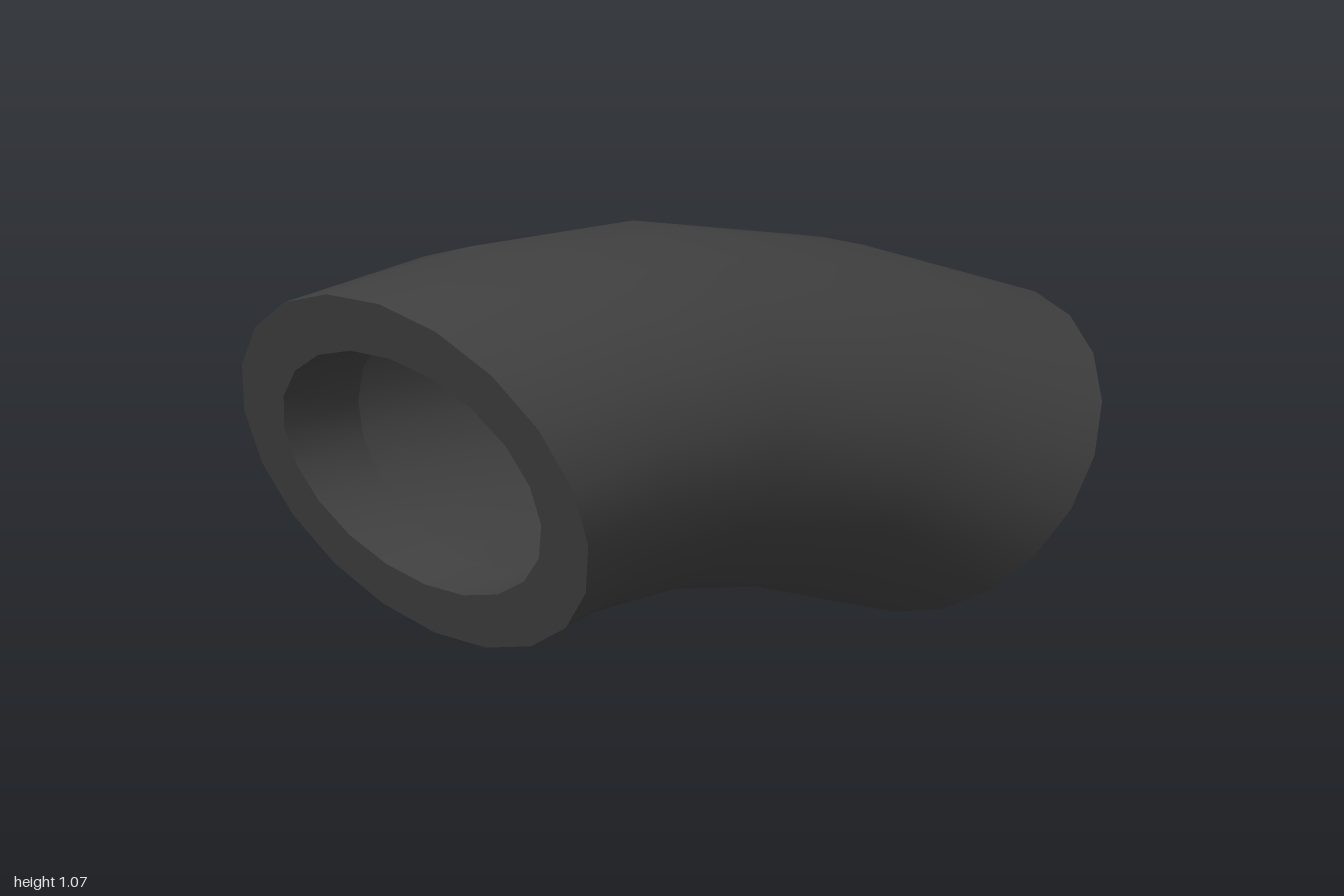
import * as THREE from 'three';

const SIDES = 20;
const WALL = 0.13;      // thickness at the end lips
const THIN_WALL = 0.07; // thickness along the wider bore
const LIP_FRONT = 0.68; // where the lips stop, counted in stations
const LIP_BACK = 3.61;

// Stations from front to back: centre, sideways half axis, upright half axis
const v = (x, y, z) => new THREE.Vector3(x, y, z);
const stations = [
  [v(0.034, 0.62, 0.873), v(0.524, 0.018, -0.076), v(0, 0.415, 0.127)],
  [v(-0.005, 0.65, 0.583), v(0.527, 0.02, -0.056), v(0, 0.425, 0.018)],
  [v(-0.027, 0.642, 0.205), v(0.529, 0.02, -0.005), v(0, 0.423, -0.07)],
  [v(-0.025, 0.545, -0.275), v(0.531, 0.03, 0.035), v(-0.005, 0.4, -0.172)],
  [v(0.022, 0.378, -0.753), v(0.529, 0.035, 0.046), v(-0.012, 0.374, -0.25)],
];

// Point on the elbow at station t and angle a, sunk below the skin by depth
function point(t, a, depth) {
  const i = Math.min(Math.floor(t), stations.length - 2);
  const [c, side, up] = stations[i].map((p, k) => p.clone().lerp(stations[i + 1][k], t - i));
  return c
    .addScaledVector(side, Math.cos(a) * (1 - depth / 0.523))
    .addScaledVector(up, Math.sin(a) * (1 - depth / 0.42));
}

// Joins a row of [station, depth] rings into one smooth band
function band(name, rings, material) {
  const positions = [], index = [];
  rings.forEach(([t, depth], r) => {
    for (let s = 0; s < SIDES; s++) {
      positions.push(...point(t, ((s + 0.5) / SIDES) * Math.PI * 2, depth).toArray());
      if (r === rings.length - 1) continue;
      const a = r * SIDES + s, b = r * SIDES + ((s + 1) % SIDES);
      index.push(a, a + SIDES, b, b, a + SIDES, b + SIDES);
    }
  });
  const geometry = new THREE.BufferGeometry();
  geometry.setAttribute('position', new THREE.Float32BufferAttribute(positions, 3));
  geometry.setIndex(index);
  geometry.computeVertexNormals();
  const mesh = new THREE.Mesh(geometry, material);
  mesh.name = name;
  return mesh;
}

export function createModel() {
  const group = new THREE.Group();
  group.name = 'pipeElbow';
  const material = new THREE.MeshStandardMaterial({ color: 0x404040 });

  // Each band starts where the one before it ends, with a sharp edge between
  const bands = {
    outerSkin: [[0, 0], [1, 0], [2, 0], [3, 0], [4, 0]],
    backRim: [[4, 0], [4, WALL]],
    backLip: [[4, WALL], [LIP_BACK, WALL]],
    backStep: [[LIP_BACK, WALL], [LIP_BACK, THIN_WALL]],
    bore: [[LIP_BACK, THIN_WALL], [3, THIN_WALL], [2, THIN_WALL], [1, THIN_WALL], [LIP_FRONT, THIN_WALL]],
    frontStep: [[LIP_FRONT, THIN_WALL], [LIP_FRONT, WALL]],
    frontLip: [[LIP_FRONT, WALL], [0, WALL]],
    frontRim: [[0, WALL], [0, 0]],
  };
  for (const [name, rings] of Object.entries(bands)) group.add(band(name, rings, material));
  return group;
}
